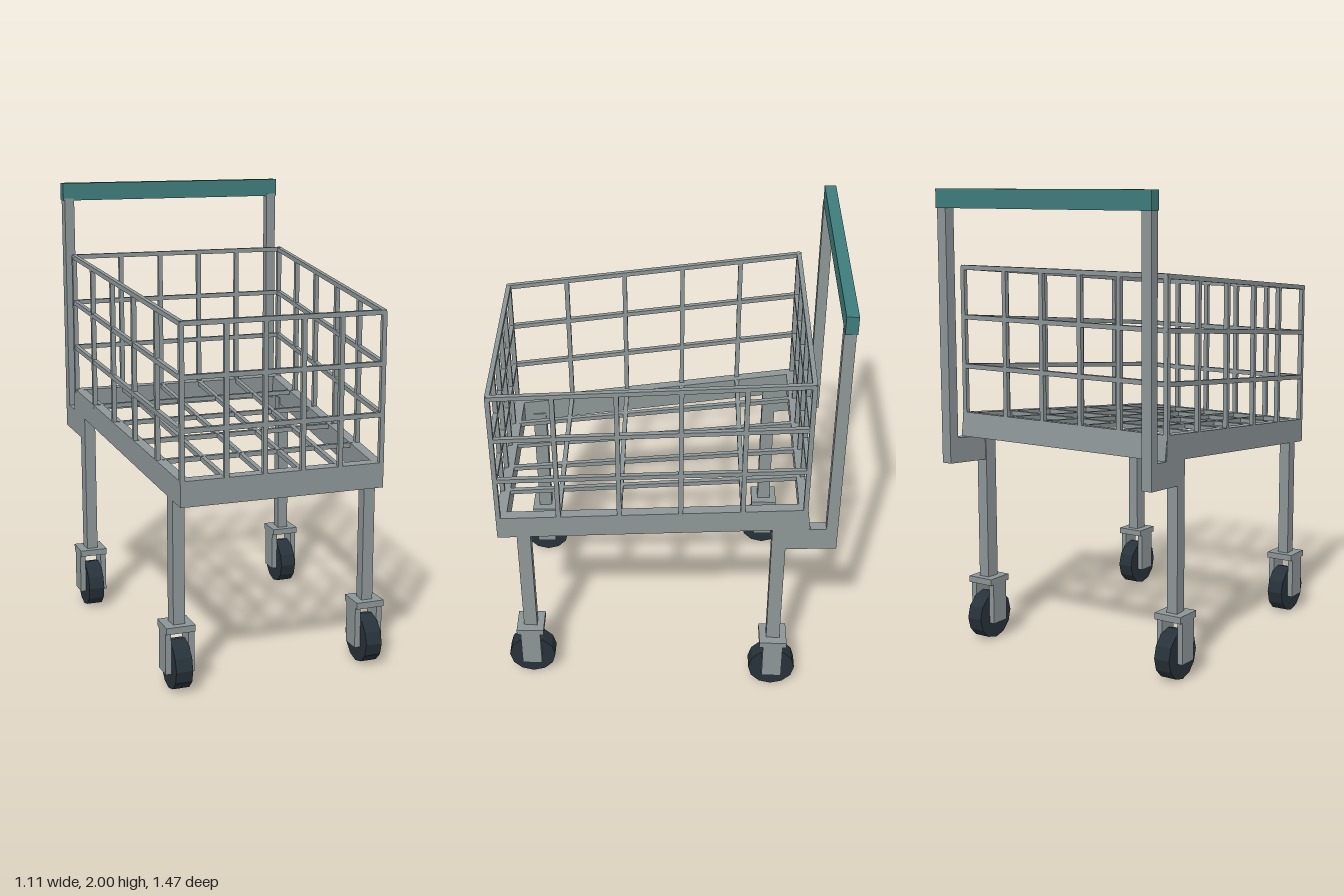
import * as THREE from 'three';

const FRONT = 0.73, BACK = -0.6;
// Half width of the tapered frame, and height of the sloping rail top, at depth z
const halfWidth = z => 0.445 + (FRONT - z) * 0.0616;
const railTop = z => 0.91 + (FRONT - z) * 0.0977;
const ROD = 0.02;

export function createModel() {
  const steel = new THREE.MeshStandardMaterial({ color: 0x8c9596 });
  steel.name = 'steel grey';
  const teal = new THREE.MeshStandardMaterial({ color: 0x3f7c7c });
  teal.name = 'handle teal';
  const rubber = new THREE.MeshStandardMaterial({ color: 0x27323a, flatShading: true });
  rubber.name = 'wheel rubber';

  const model = new THREE.Group();
  model.name = 'shoppingCart';

  const add = (parent, name, geometry, material, x = 0, y = 0, z = 0) => {
    const mesh = new THREE.Mesh(geometry, material);
    mesh.name = name;
    mesh.position.set(x, y, z);
    parent.add(mesh);
    return mesh;
  };
  const group = (name, parent = model) => {
    const g = new THREE.Group();
    g.name = name;
    parent.add(g);
    return g;
  };

  // Extrude a (z, y) profile along x; x then spans -t..0
  const profile = (points, t) => {
    const shape = new THREE.Shape(points.map(p => new THREE.Vector2(p[0], p[1])));
    return new THREE.ExtrudeGeometry(shape, { depth: t, bevelEnabled: false }).rotateY(-Math.PI / 2);
  };
  // Side member that follows the taper of the frame
  const sideMember = (parent, name, side, points, t = 0.045) => {
    const geo = profile(points, t), pos = geo.attributes.position;
    for (let i = 0; i < pos.count; i++) {
      const w = halfWidth(pos.getZ(i));
      pos.setX(i, pos.getX(i) + (side > 0 ? w : t - w));
    }
    geo.computeVertexNormals();
    add(parent, name, geo, steel);
  };
  // Square rod between two points
  const rod = (parent, name, a, b) => {
    const p = new THREE.Vector3(...a), q = new THREE.Vector3(...b);
    const mesh = add(parent, name, new THREE.BoxGeometry(ROD, ROD, p.distanceTo(q) + ROD * 0.5), steel);
    mesh.position.copy(p).add(q).multiplyScalar(0.5);
    mesh.lookAt(q);
  };

  // Frame: rails, rear brackets and handle posts
  const frame = group('frame');
  for (const side of [1, -1]) {
    const tag = side > 0 ? 'left' : 'right';
    sideMember(frame, tag + 'Rail', side,
      [[FRONT, 0.803], [FRONT, 0.91], [BACK, 1.04], [-0.608, 0.935], [-0.455, 0.92]]);
    sideMember(frame, tag + 'Bracket', side,
      [[-0.455, 0.815], [-0.73, 0.835], [-0.73, 0.945], [-0.608, 0.935], [-0.455, 0.92]]);
    sideMember(frame, tag + 'HandlePost', side,
      [[-0.73, 0.835], [-0.73, 1.93], [-0.682, 1.93], [-0.682, 0.832]]);
  }
  add(frame, 'frontBeam', profile(
    [[FRONT, 0.803], [FRONT, 0.91], [0.685, 0.914], [0.685, 0.808]], 0.885), steel, 0.4425);
  add(frame, 'backBeam', profile(
    [[-0.57, 0.931], [-0.563, 1.037], [BACK, 1.04], [-0.615, 0.936]], 1.05), steel, 0.525);
  add(model, 'handle', new THREE.BoxGeometry(1.076, 0.08, 0.05), teal, 0, 1.96, -0.71);

  // Basket wires: six stations along the sides, six across the front and back
  const basket = group('basket');
  const zFront = FRONT - ROD / 2, zBack = BACK + ROD / 2;
  const stations = Array.from({ length: 6 }, (_, i) => zFront + (zBack - zFront) * i / 5);
  const edge = z => halfWidth(z) - ROD / 2;
  const level = (z, k) => railTop(z) - ROD / 2 + k * 0.2125;

  for (let k = 1; k <= 3; k++) {
    for (const s of [1, -1])
      rod(basket, 'sideWire', [s * edge(zFront), level(zFront, k), zFront], [s * edge(zBack), level(zBack, k), zBack]);
    for (const z of [zFront, zBack])
      rod(basket, 'crossWire', [-edge(z), level(z, k), z], [edge(z), level(z, k), z]);
  }
  stations.forEach((z, i) => {
    for (const s of [1, -1])
      rod(basket, 'sideUpright', [s * edge(z), level(z, 0), z], [s * edge(z), level(z, 3), z]);
    if (i > 0 && i < 5)
      rod(basket, 'floorCrossWire', [-edge(z), level(z, 0), z], [edge(z), level(z, 0), z]);
  });
  for (const f of [-0.6, -0.2, 0.2, 0.6]) {
    const xf = f * 0.415, xb = f * 0.485;
    rod(basket, 'floorLongWire', [xf, level(zFront, 0), zFront], [xb, level(zBack, 0), zBack]);
    rod(basket, 'frontUpright', [xf, level(zFront, 0), zFront], [xf, level(zFront, 3), zFront]);
    rod(basket, 'backUpright', [xb, level(zBack, 0), zBack], [xb, level(zBack, 3), zBack]);
  }

  // Legs with castors
  const wheelGeo = new THREE.CylinderGeometry(0.105, 0.105, 0.072, 12).rotateZ(Math.PI / 2);
  const plateGeo = new THREE.BoxGeometry(0.125, 0.028, 0.122);
  const forkGeo = new THREE.BoxGeometry(0.025, 0.19, 0.088);
  for (const [place, z, top] of [['front', 0.615, 0.85], ['rear', -0.485, 0.95]]) {
    for (const side of [1, -1]) {
      const leg = group(place + (side > 0 ? 'Left' : 'Right') + 'Leg');
      sideMember(leg, 'legPost', side,
        [[z - 0.03, 0.27], [z - 0.03, top], [z + 0.03, top], [z + 0.03, 0.27]], 0.05);
      const castor = group('castor', leg);
      castor.position.set(side * (halfWidth(z) - 0.025), 0, z);
      add(castor, 'castorPlate', plateGeo, steel, 0, 0.27, 0);
      for (const s of [1, -1]) add(castor, 'fork', forkGeo, steel, s * 0.05, 0.172, 0);
      add(castor, 'wheel', wheelGeo, rubber, 0, 0.105, 0);
    }
  }
  return model;
}
